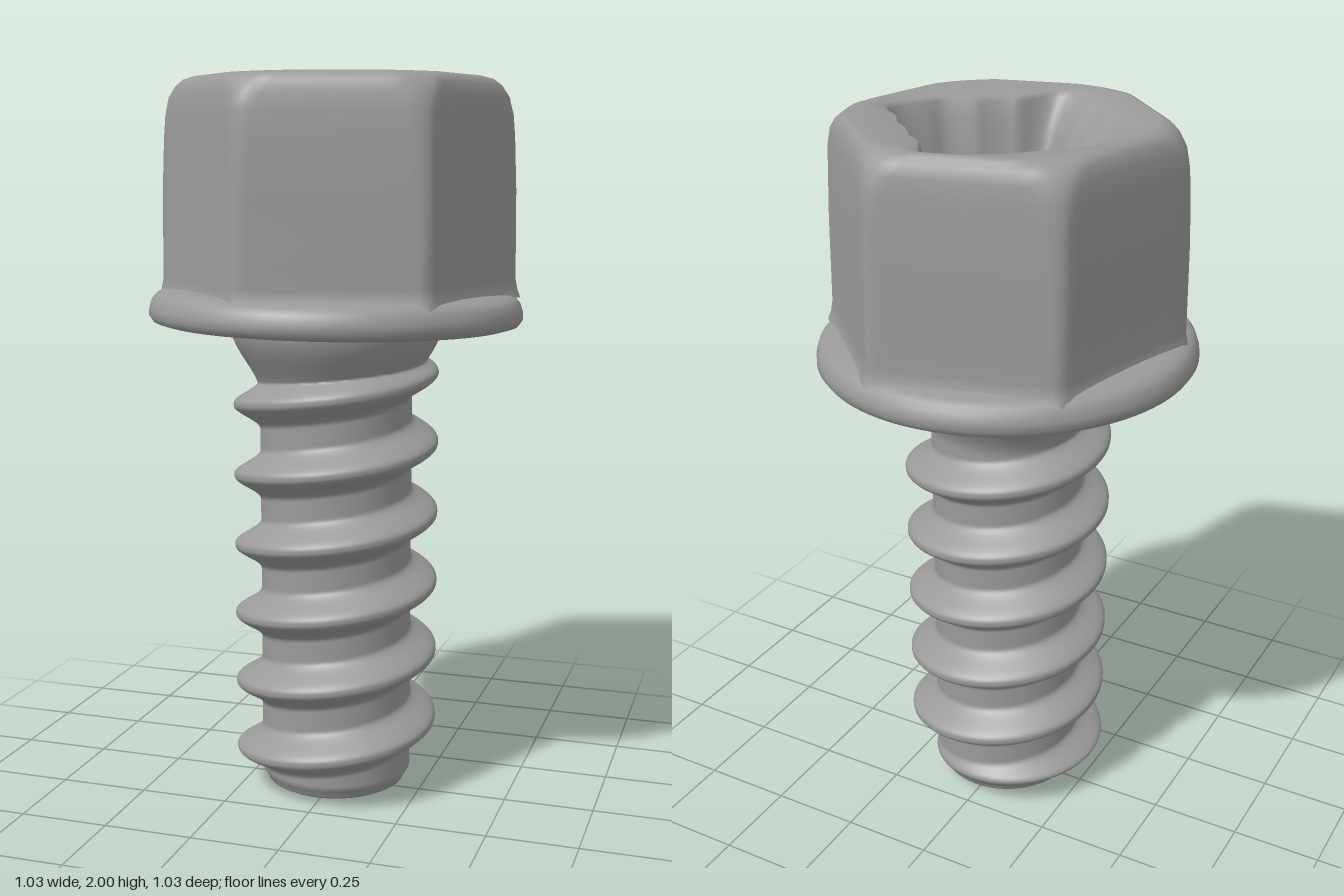
import * as THREE from 'three';

const TAU = Math.PI * 2;
const { lerp, smoothstep } = THREE.MathUtils;
const material = new THREE.MeshStandardMaterial({ color: 0x9a9a9a });

// Closed skin around the y axis; point(row, angle) returns [radius, height].
function skin(name, rows, cols, point) {
  const positions = [], index = [];
  for (let i = 0; i <= rows; i++) {
    for (let j = 0; j < cols; j++) {
      const a = (j / cols) * TAU;
      const [r, y] = point(i, a);
      positions.push(Math.cos(a) * r, y, Math.sin(a) * r);
      if (i === rows) continue;
      const p = i * cols + j, q = i * cols + ((j + 1) % cols);
      index.push(p, p + cols, q, q, p + cols, q + cols);
    }
  }
  const geometry = new THREE.BufferGeometry();
  geometry.setAttribute('position', new THREE.Float32BufferAttribute(positions, 3));
  geometry.setIndex(index);
  geometry.computeVertexNormals();
  const mesh = new THREE.Mesh(geometry, material);
  mesh.name = name;
  return mesh;
}

// Regular hexagon, one corner at -75 degrees.
function hexRadius(a) {
  const sector = TAU / 6;
  const t = (a + (75 * Math.PI) / 180) % sector;
  return 0.424 / Math.cos(t - sector / 2);
}

// Worn, lobed outline of the drive recess, sampled every 22.5 degrees.
const rim = [0.34, 0.3, 0.24, 0.24, 0.33, 0.31, 0.29, 0.3, 0.32, 0.3, 0.28, 0.3, 0.36, 0.27, 0.25, 0.27];
function rimRadius(a) {
  const t = (a / TAU) * rim.length, i = Math.floor(t);
  return lerp(rim[i % rim.length], rim[(i + 1) % rim.length], smoothstep(t - i, 0, 1));
}

function createHead() {
  // Outer wall: [hexagon scale, limiting circle, height]; the circle rounds off the upper corners
  const wall = [[1.03, 0.5, 1.41], [1.01, 0.492, 1.43], [1, 0.486, 1.46], [0.995, 0.483, 1.7], [0.985, 0.477, 1.84],
    [0.98, 0.472, 1.9], [0.97, 0.46, 1.945], [0.95, 0.44, 1.975], [0.92, 0.418, 1.992], [0.88, 0.39, 1.999]];
  // Recess: [scale on the +x side, scale on the -x side, height]
  const recess = [[1.03, 1.06, 1.988], [1, 0.98, 1.975], [0.97, 0.82, 1.935], [0.94, 0.64, 1.88], [0.91, 0.46, 1.8],
    [0.87, 0.34, 1.7], [0.8, 0.24, 1.63], [0.6, 0.15, 1.6], [0.3, 0.08, 1.585], [0.002, 0.002, 1.58]];
  const head = skin('hexHead', wall.length + recess.length - 1, 144, (i, a) => {
    if (i < wall.length) {
      const [scale, limit, y] = wall[i];
      return [Math.min(hexRadius(a) * scale, limit), y];
    }
    const [right, left, y] = recess[i - wall.length];
    const side = smoothstep(-Math.cos(a), -0.5, 0.7);
    return [rimRadius(a) * lerp(right, left, side), y];
  });
  head.position.set(0.005, 0, -0.007);
  return head;
}

// Washer-like collar, slightly tilted
function createFlange() {
  const profile = [[0.2, -0.045], [0.4, -0.043], [0.48, -0.043], [0.503, -0.036], [0.514, -0.02],
    [0.513, 0], [0.506, 0.022], [0.494, 0.036], [0.475, 0.045], [0.43, 0.052], [0.38, 0.055]];
  const flange = skin('flange', profile.length - 1, 96, (i) => profile[i]);
  flange.position.y = 1.38;
  flange.rotation.set(-0.008, 0, -0.012);
  return flange;
}

function createShank() {
  const rows = 260, bottom = 0.024, top = 1.35, pitch = 0.2;
  // Worn, dimpled end face
  const end = [[0.002, 0.03], [0.035, 0.024], [0.065, 0.004], [0.1, 0], [0.15, 0.01], [0.182, 0.016]];
  return skin('threadedShank', rows + end.length, 80, (i, a) => {
    if (i < end.length) return end[i];
    const y = lerp(bottom, top, (i - end.length) / rows);
    // Core, rounded at the tip
    const core = 0.212 - 0.016 * (1 - smoothstep(y, 0.02, 0.06));
    // Neck flaring out under the head
    const flare = 0.08 * smoothstep(y, 1.14, 1.33);
    // Right-handed helical ridge with filleted flanks
    const turn = y / pitch + a / TAU;
    const d = Math.abs(turn - Math.round(turn)) * pitch;
    const ridge = 0.074 * Math.pow(1 - smoothstep(d, 0.004, 0.072), 1.1);
    const fade = smoothstep(y, 0.04, 0.12) * (1 - smoothstep(y, 1.2, 1.32));
    return [core + Math.max(flare, ridge * fade), y];
  });
}

export function createModel() {
  const bolt = new THREE.Group();
  bolt.name = 'flangedHexBolt';
  bolt.add(createHead(), createFlange(), createShank());
  return bolt;
}
